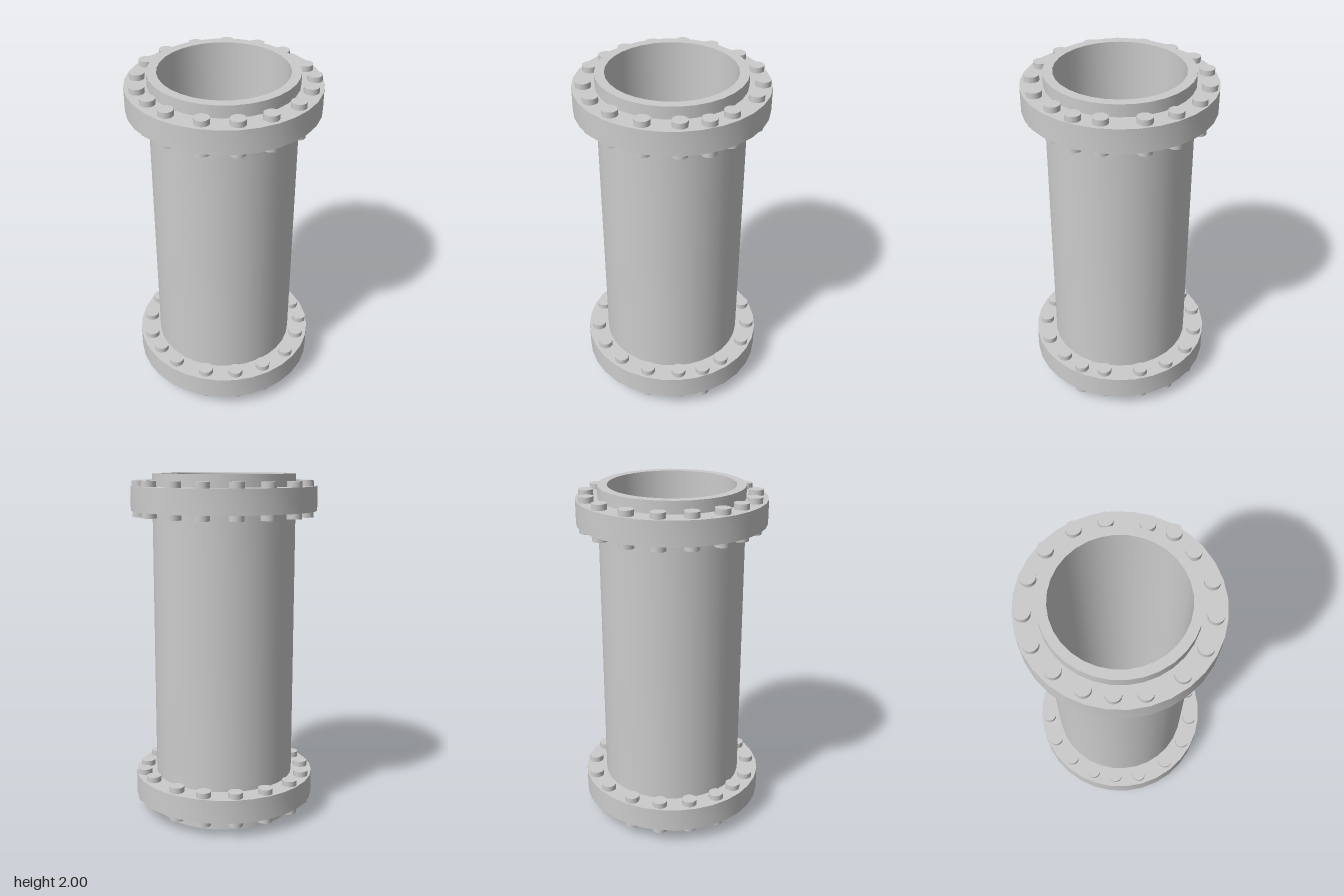
import * as THREE from 'three';
import { toCreasedNormals } from 'three/addons/utils/BufferGeometryUtils.js';

const SIDES = 32;
const material = new THREE.MeshStandardMaterial({ color: 0xcccccc });

// Hollow ring between two radii and two heights, with sharp rims
function ring(name, inner, outer, y0, y1) {
  const profile = [[inner, y0], [outer, y0], [outer, y1], [inner, y1], [inner, y0]]
    .map(([r, y]) => new THREE.Vector2(r, y));
  const geometry = toCreasedNormals(new THREE.LatheGeometry(profile, SIDES), 0.6);
  const mesh = new THREE.Mesh(geometry, material);
  mesh.name = name;
  return mesh;
}

// Hand-placed bolt centres around the flange, as [x, z]
const BOLTS = [
  [-0.006, -0.479], [0.171, -0.451], [0.324, -0.356], [0.423, -0.217],
  [0.471, -0.006], [0.466, 0.135], [0.391, 0.261], [0.263, 0.395],
  [0.088, 0.463], [-0.086, 0.463], [-0.252, 0.397], [-0.394, 0.258],
  [-0.449, 0.114], [-0.468, -0.031], [-0.426, -0.197], [-0.334, -0.343],
  [-0.193, -0.44],
];

export function createModel() {
  const model = new THREE.Group();
  model.name = 'flangedPipe';

  // Open pipe
  model.add(ring('pipe', 0.357, 0.41, 0, 2));

  // Flanged joint near each end, with bolts passing through it
  const boltGeometry = new THREE.CylinderGeometry(0.042, 0.042, 0.202, SIDES);
  for (const [name, y] of [['bottomFlange', 0.161], ['topFlange', 1.861]]) {
    const joint = new THREE.Group();
    joint.name = name;
    joint.position.y = y;
    joint.add(ring('flangeRing', 0.4, 0.533, -0.069, 0.069));
    for (const [x, z] of BOLTS) {
      const bolt = new THREE.Mesh(boltGeometry, material);
      bolt.name = 'bolt';
      bolt.position.set(x, 0, z);
      joint.add(bolt);
    }
    model.add(joint);
  }
  return model;
}
